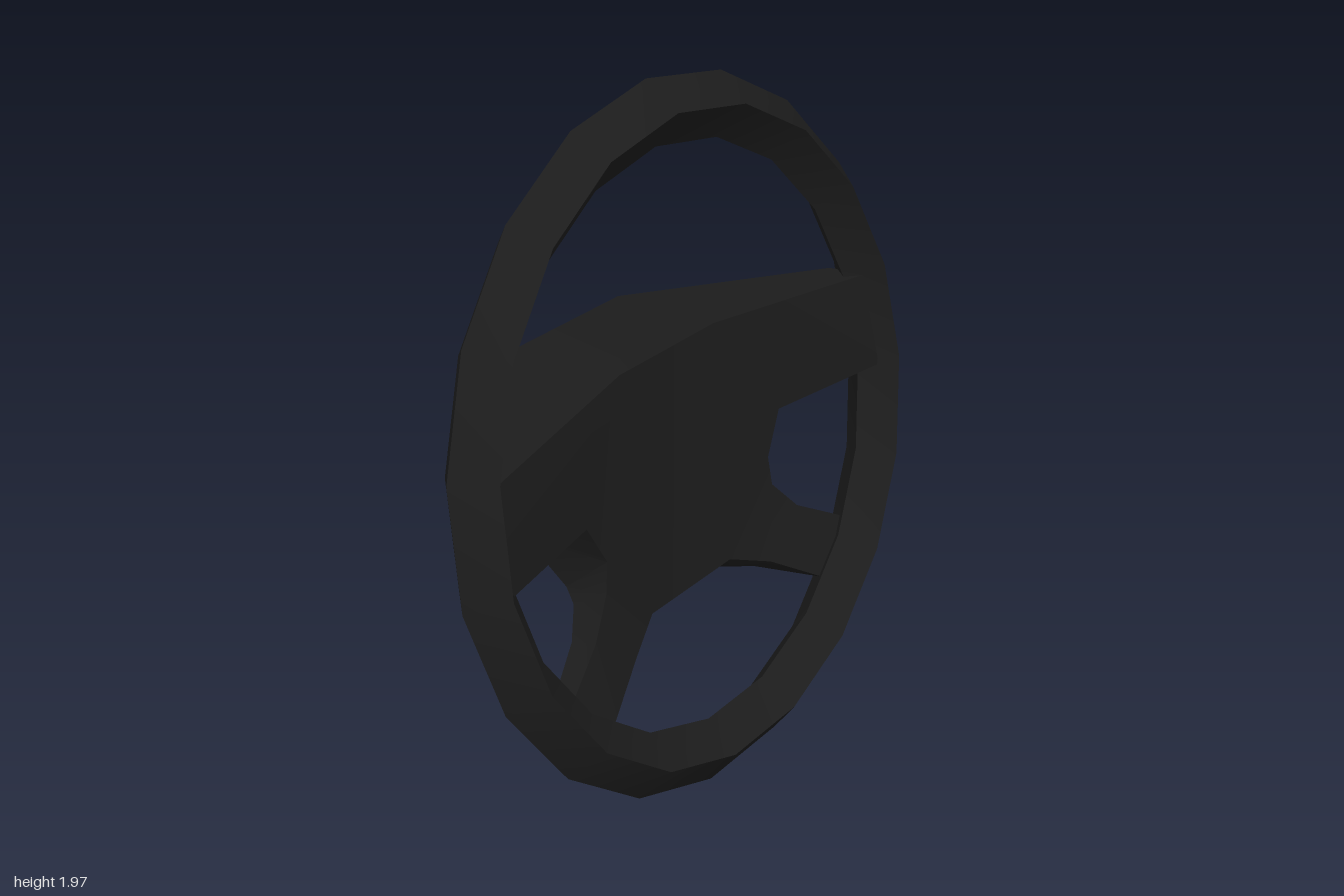
import * as THREE from 'three';
import { toCreasedNormals } from 'three/addons/utils/BufferGeometryUtils.js';

// Half outline of the hub with its spokes: front x, y, z, then back x, y, z
const HALF = [
  [0.215, 0.254, -0.06, 0.235, 0.303, -0.41], // top centre
  [0.872, 0.2, 0.045, 0.86, 0.21, -0.095], // upper spoke end
  [0.872, -0.09, 0.045, 0.86, -0.125, -0.095],
  [0.455, -0.093, -0.05, 0.485, -0.132, -0.25], // side opening
  [0.385, -0.22, -0.06, 0.41, -0.305, -0.2],
  [0.4, -0.315, -0.07, 0.42, -0.35, -0.175],
  [0.49, -0.418, -0.055, 0.49, -0.425, -0.14],
  [0.68, -0.53, -0.02, 0.68, -0.53, -0.08], // lower spoke end
  [0.53, -0.67, -0.02, 0.53, -0.67, -0.08],
  [0.33, -0.535, -0.06, 0.33, -0.56, -0.125],
  [0.19, -0.472, -0.1, 0.19, -0.505, -0.155], // bottom centre
];
const FACES = [
  [0, 1, 2], [0, 2, 3], [0, 3, 4], [0, 4, 10], [4, 5, 10],
  [5, 9, 10], [5, 6, 9], [6, 7, 8], [6, 8, 9],
];

function hubGeometry() {
  const n = HALF.length;
  // Closed clockwise ring: model's left half, then the mirrored half
  const mirrored = HALF.map(([a, b, c, d, e, f]) => [-a, b, c, -d, e, f]).reverse();
  const ring = [...HALF, ...mirrored];
  const count = ring.length;
  const front = ring.map(p => p.slice(0, 3));
  const back = ring.map(p => p.slice(3));
  const pos = [];
  const tri = (a, b, c) => pos.push(...a, ...b, ...c);

  // Dished front and wedge-shaped back surfaces
  const cap = (i, j, k) => {
    tri(front[i], front[k], front[j]);
    tri(back[i], back[j], back[k]);
  };
  const m = i => count - 1 - i;
  for (const [i, j, k] of FACES) {
    cap(i, j, k);
    cap(m(i), m(k), m(j));
  }
  cap(0, n - 1, m(n - 1));
  cap(0, m(n - 1), m(0));

  // Side walls
  for (let i = 0; i < count; i++) {
    const j = (i + 1) % count;
    tri(front[i], front[j], back[j]);
    tri(front[i], back[j], back[i]);
  }
  const geo = new THREE.BufferGeometry();
  geo.setAttribute('position', new THREE.Float32BufferAttribute(pos, 3));
  return toCreasedNormals(geo, 0.6);
}

export function createModel() {
  const black = new THREE.MeshStandardMaterial({ color: 0x1c1c1c });
  black.name = 'black plastic';

  const model = new THREE.Group();
  model.name = 'steeringWheel';

  const wheel = new THREE.Group();
  wheel.name = 'tiltedWheel';
  wheel.position.set(0, 0.978, 0.098);
  wheel.rotation.set(-0.174, 0.075, 0, 'YXZ');
  model.add(wheel);

  // Rim with a diamond section and one corner at the top
  const rimGeo = new THREE.TorusGeometry(0.914, 0.091, 4, 19);
  rimGeo.rotateZ(Math.PI / 2);
  const rim = new THREE.Mesh(toCreasedNormals(rimGeo, 0.6), black);
  rim.name = 'rim';
  wheel.add(rim);

  // Hub with four spokes
  const hub = new THREE.Mesh(hubGeometry(), black);
  hub.name = 'hubAndSpokes';
  wheel.add(hub);

  return model;
}
